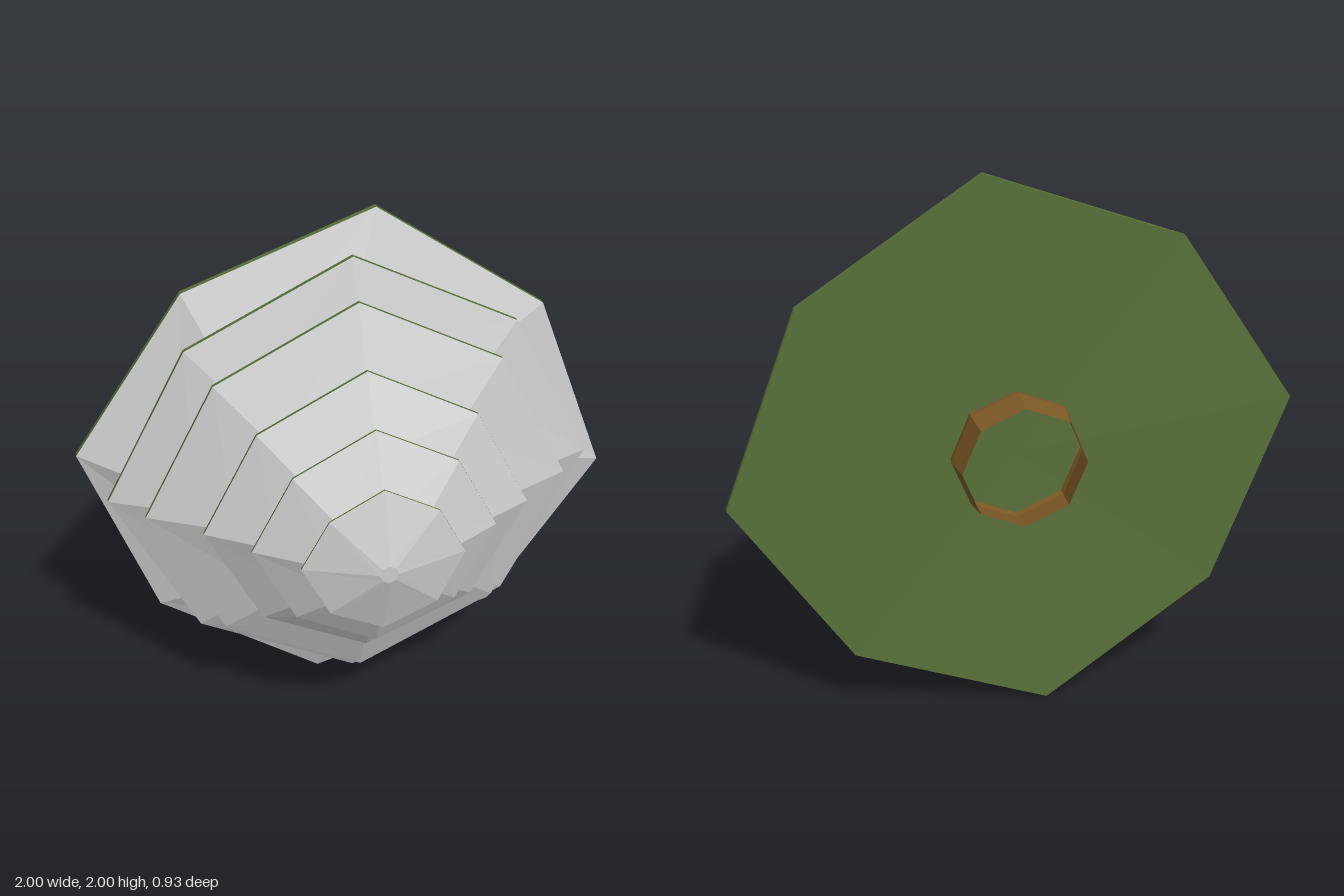
import * as THREE from 'three';

const SIDES = 8;
const grey = new THREE.MeshStandardMaterial({ color: 0xcccccc, flatShading: true, side: THREE.DoubleSide });
const green = new THREE.MeshStandardMaterial({ color: 0x587038, flatShading: true, side: THREE.DoubleSide });
const brown = new THREE.MeshStandardMaterial({ color: 0x7d5826, flatShading: true, side: THREE.DoubleSide });

// Eight-sided ring around the z axis; corners between the four main ones sit a little further in.
// depth(k) gives the z of corner k, starting at +x and turning towards +y.
function ring(radius, depth, turn = 0, inset = 0.935) {
  return Array.from({ length: SIDES }, (_, k) => {
    const a = (k / SIDES) * Math.PI * 2 + turn;
    const r = k % 2 ? radius * inset : radius;
    return new THREE.Vector3(r * Math.cos(a), r * Math.sin(a), depth(k));
  });
}

// Skin between successive rings, ordered so that faces point outwards
function loft(name, rings, material) {
  const points = [];
  for (let i = 0; i < rings.length - 1; i++) {
    const lo = rings[i], hi = rings[i + 1];
    for (let k = 0; k < SIDES; k++) {
      const n = (k + 1) % SIDES;
      if (lo[k].distanceTo(lo[n]) > 1e-6) points.push(lo[k], lo[n], hi[n]);
      if (hi[k].distanceTo(hi[n]) > 1e-6) points.push(lo[k], hi[n], hi[k]);
    }
  }
  const geometry = new THREE.BufferGeometry().setFromPoints(points);
  geometry.computeVertexNormals();
  const mesh = new THREE.Mesh(geometry, material);
  mesh.name = name;
  return mesh;
}

// Tiers from tip to base: rim radius, rim depth at +x, +y, -x, -y, rim thickness, inner ring [radius, z]
const tiers = [
  { r: 0.29, z: [0.372, 0.375, 0.37, 0.372], t: 0.006, inner: [0.035, 0.465] },
  { r: 0.44, z: [0.23, 0.23, 0.23, 0.245], t: 0.008, inner: [0.19, 0.392] },
  { r: 0.59, z: [0.105, 0.085, 0.085, 0.075], t: 0.011, inner: [0.35, 0.245] },
  { r: 0.78, z: [-0.062, -0.058, -0.065, -0.047], t: 0.014, inner: [0.48, 0.1] },
  { r: 0.905, z: [-0.2, -0.162, -0.2, -0.205], t: 0.017, inner: [0.61, -0.045] },
  { r: 1.007, z: [-0.312, -0.35, -0.352, -0.35], t: 0.022, inner: [0.65, -0.17], turn: -0.118 },
];

export function createModel() {
  const model = new THREE.Group();
  model.name = 'layeredTree';
  const tree = new THREE.Group();
  tree.name = 'tree';
  tree.position.y = 1.005;
  model.add(tree);

  tiers.forEach(({ r, z, t, inner, turn = 0 }, i) => {
    const rimDepth = (k) => {
      const a = z[k >> 1];
      return k % 2 ? (a + z[((k >> 1) + 1) % 4]) / 2 + 0.012 : a;
    };
    const middle = z.reduce((s, v) => s + v, 0) / 4 + 0.01;
    const back = ring(r, rimDepth, turn);
    const front = ring(r, (k) => rimDepth(k) + t, turn);
    const rings = [front, ring(inner[0], () => inner[1])];
    if (i === 0) rings.push(ring(0, () => inner[1])); // blunt tip

    const tier = new THREE.Group();
    tier.name = `tier${i + 1}`;
    tier.add(loft('snowCover', rings, grey));
    tier.add(loft('foliage', [ring(0, () => middle), back, front], green));
    tree.add(tier);
  });

  // Open, slightly tapered trunk
  tree.add(loft('trunk', [
    ring(0.22, () => -0.465, 0, 1),
    ring(0.235, () => -0.358, 0, 1),
    ring(0.23, () => -0.325, 0, 1),
  ], brown));

  return model;
}
